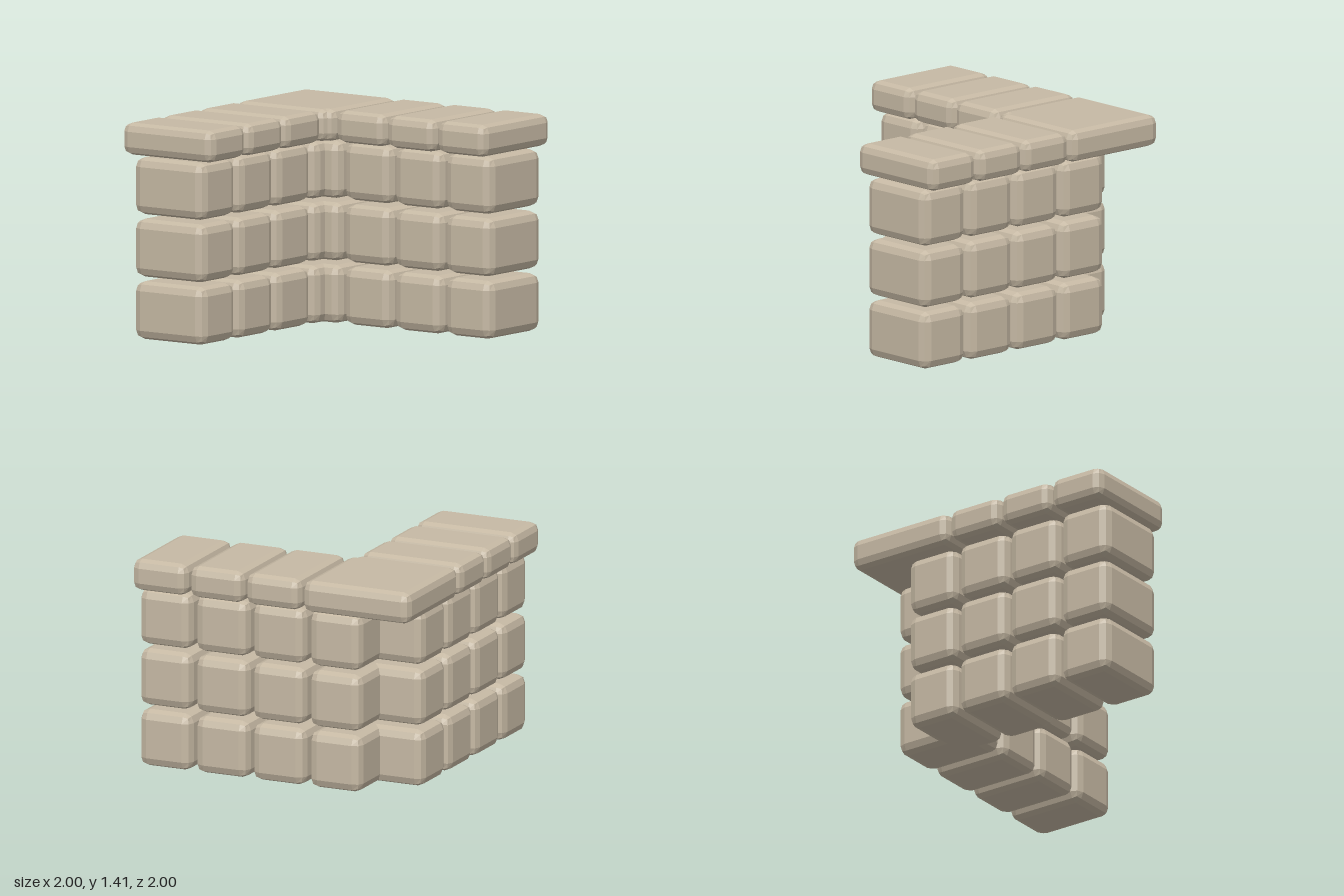
import * as THREE from 'three';
import { RoundedBoxGeometry } from 'three/addons/geometries/RoundedBoxGeometry.js';

export function createModel() {
  const model = new THREE.Group();
  model.name = 'cornerStoneWall';
  const stone = new THREE.MeshStandardMaterial({ color: 0xc6b9a4 });
  stone.name = 'sandstone';
  stone.flatShading = true;

  // Bevelled block spanning the given [min, max] ranges
  function addBlock(parent, name, [x0, x1], [y0, y1], [z0, z1], bevel) {
    const geometry = new RoundedBoxGeometry(x1 - x0, y1 - y0, z1 - z0, 1, bevel);
    const mesh = new THREE.Mesh(geometry, stone);
    mesh.name = name;
    mesh.position.set((x0 + x1) / 2, (y0 + y1) / 2, (z0 + z1) / 2);
    parent.add(mesh);
  }

  const rows = [[0.005, 0.385], [0.415, 0.795], [0.825, 1.2]];
  const columns = [[-0.992, -0.617], [-0.587, -0.205], [-0.178, 0.203], [0.234, 0.607]];
  const capSpans = [[-1, -0.608], [-0.587, -0.2], [-0.183, 0.211], [0.229, 1]];
  const wallDepth = [-0.912, -0.345];
  const capDepth = [-1, -0.268];
  const capHeight = [1.21, 1.42];
  const flip = ([a, b]) => [-b, -a];

  // The two wings mirror each other across the diagonal; their end blocks overlap at the corner
  for (const side of [false, true]) {
    const wing = new THREE.Group();
    wing.name = side ? 'leftWing' : 'backWing';
    const place = (name, along, height, across, bevel) => side
      ? addBlock(wing, name, flip(across), height, flip(along), bevel)
      : addBlock(wing, name, along, height, across, bevel);

    // Courses of wall blocks
    for (const row of rows) {
      for (const column of columns) place('wallBlock', column, row, wallDepth, 0.06);
    }
    // Overhanging capstones, the last one covering the corner
    capSpans.forEach((span, i) =>
      place(i === 3 ? 'cornerCapstone' : 'capstone', span, capHeight, capDepth, 0.055));
    model.add(wing);
  }
  return model;
}
